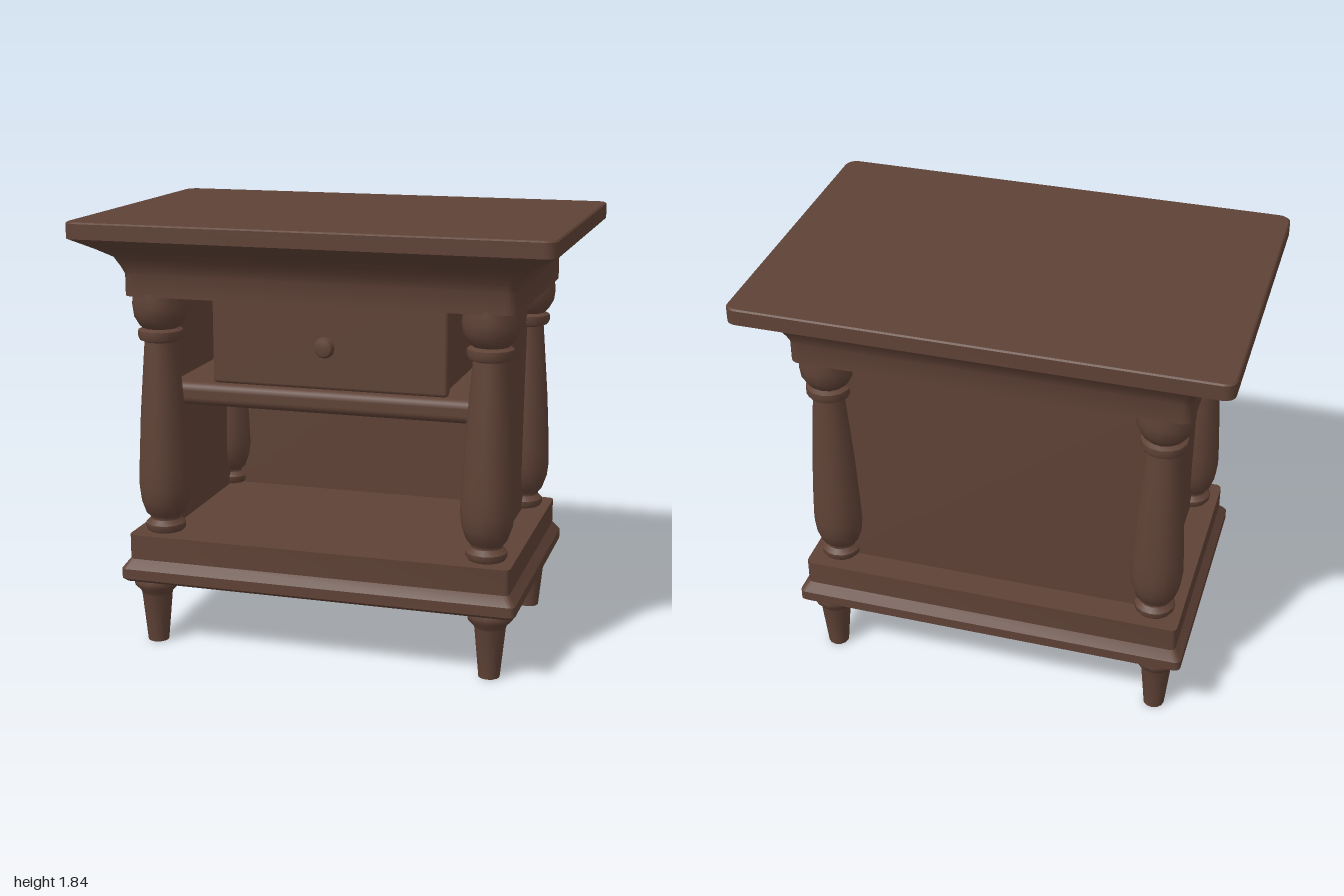
import * as THREE from 'three';
import { toCreasedNormals } from 'three/addons/utils/BufferGeometryUtils.js';
import { RoundedBoxGeometry } from 'three/addons/geometries/RoundedBoxGeometry.js';

// Moulded block: rounded rectangles stacked along a profile of [inset, y], bottom to top
function mouldedBlock(halfX, halfZ, radius, profile, corner = 4) {
  const pos = [], index = [], n = 4 * (corner + 1);
  const signs = [[1, 1], [-1, 1], [-1, -1], [1, -1]];
  for (const [inset, y] of profile) {
    signs.forEach(([sx, sz], q) => {
      for (let i = 0; i <= corner; i++) {
        const a = (q + i / corner) * Math.PI / 2;
        pos.push(sx * (halfX - inset - radius) + radius * Math.cos(a), y,
          sz * (halfZ - inset - radius) + radius * Math.sin(a));
      }
    });
  }
  const last = profile.length - 1;
  for (let k = 0; k < last; k++) {
    for (let i = 0; i < n; i++) {
      const j = (i + 1) % n;
      const a = k * n + i, b = k * n + j, c = b + n, d = a + n;
      index.push(a, d, c, a, c, b);
    }
  }
  // bottom and top caps
  const base = pos.length / 3;
  pos.push(0, profile[0][1], 0, 0, profile[last][1], 0);
  for (let i = 0; i < n; i++) {
    const j = (i + 1) % n;
    index.push(base, i, j, base + 1, last * n + j, last * n + i);
  }
  const g = new THREE.BufferGeometry();
  g.setAttribute('position', new THREE.Float32BufferAttribute(pos, 3));
  g.setIndex(index);
  return toCreasedNormals(g, 0.6);
}

// Turned part from [radius, y] pairs, bottom to top
function turned(points, sides) {
  const g = new THREE.LatheGeometry(points.map(([r, y]) => new THREE.Vector2(r, y)), sides);
  return toCreasedNormals(g, 0.75);
}

export function createModel() {
  const root = new THREE.Group();
  root.name = 'nightstand';
  const wood = new THREE.MeshStandardMaterial({ color: 0x5f4236 });
  wood.name = 'brown wood';

  const add = (name, geometry, x = 0, y = 0, z = 0) => {
    const m = new THREE.Mesh(geometry, wood);
    m.name = name;
    m.position.set(x, y, z);
    root.add(m);
    return m;
  };

  // Top with its cove moulding
  add('tabletop', mouldedBlock(1, 0.685, 0.045, [
    [0.175, 1.52], [0.175, 1.61], [0.163, 1.64], [0.14, 1.685], [0.08, 1.725],
    [0, 1.772], [0, 1.834], [0.006, 1.84],
  ]));

  // Plinth with a stepped foot moulding
  add('plinth', mouldedBlock(0.855, 0.558, 0.025, [
    [0.012, 0.29], [0, 0.302], [0, 0.345], [0.03, 0.385], [0.03, 0.492],
  ]));

  // Cabinet walls
  for (const s of [-1, 1]) add('sidePanel', new THREE.BoxGeometry(0.03, 1.04, 0.8), s * 0.7, 1.005, 0);
  add('backPanel', new THREE.BoxGeometry(1.4, 1.04, 0.03), 0, 1.005, -0.39);

  // Shelf with a rounded front rail, and the drawer above it
  add('shelf', new THREE.BoxGeometry(1.4, 0.1, 0.68), 0, 1.08, -0.05);
  add('shelfRail', new RoundedBoxGeometry(1.4, 0.1, 0.1, 3, 0.035), 0, 1.08, 0.29);
  add('drawerBox', new THREE.BoxGeometry(0.98, 0.38, 0.64), 0, 1.33, -0.06);
  add('drawerFront', new RoundedBoxGeometry(1.02, 0.42, 0.05, 2, 0.015), 0, 1.34, 0.285);

  // Drawer knob
  const knob = add('drawerKnob', turned([
    [0.02, 0], [0.02, 0.025], [0.038, 0.035], [0.045, 0.052], [0.035, 0.072], [0, 0.08],
  ], 12), 0, 1.32, 0.305);
  knob.rotation.x = Math.PI / 2;

  // Turned columns and tapered feet, one pair per corner
  const column = turned([
    [0.075, 0.49], [0.086, 0.505], [0.086, 0.525], [0.066, 0.545], [0.066, 0.555],
    [0.085, 0.575], [0.104, 0.63], [0.111, 0.69], [0.108, 0.78], [0.096, 1.0],
    [0.08, 1.2], [0.07, 1.32], [0.09, 1.328], [0.097, 1.345], [0.095, 1.368],
    [0.075, 1.378], [0.09, 1.392], [0.112, 1.43], [0.118, 1.475], [0.112, 1.53],
  ], 14);
  const foot = turned([
    [0, 0], [0.045, 0], [0.066, 0.215], [0.07, 0.228], [0.095, 0.255], [0.099, 0.275], [0.09, 0.3],
  ], 12);
  for (const sx of [-1, 1]) {
    for (const sz of [-1, 1]) {
      add('column', column, sx * 0.705, 0, sz * 0.4);
      add('foot', foot, sx * 0.735, 0, sz * 0.445);
    }
  }
  return root;
}
